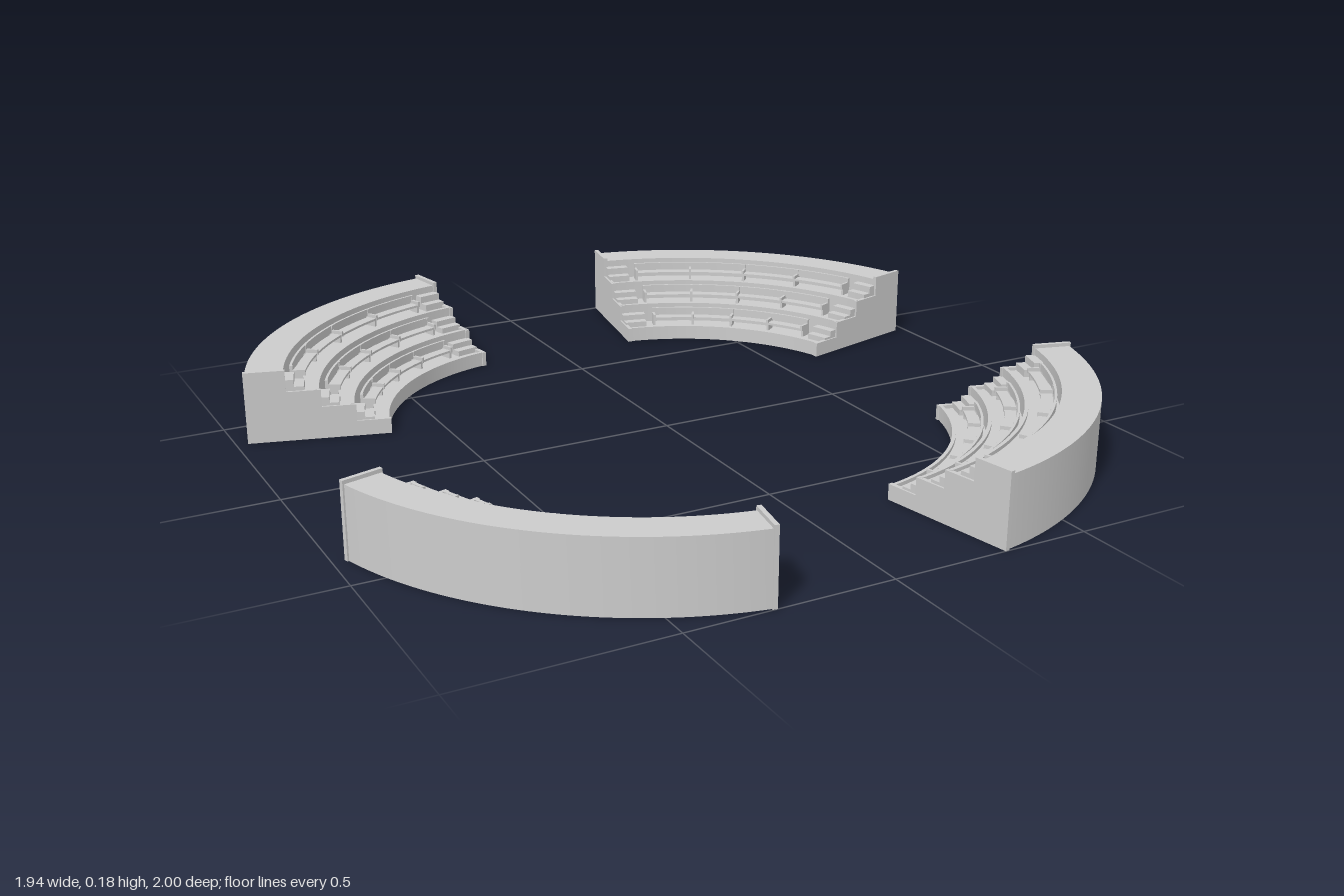
import * as THREE from 'three';
import { toCreasedNormals } from 'three/addons/utils/BufferGeometryUtils.js';

const material = new THREE.MeshStandardMaterial({ color: 0xcccccc, side: THREE.DoubleSide });
const INNER = 0.523, OUTER = 0.868, TIER = 0.084;
const HALF = THREE.MathUtils.degToRad(32.15);
const WALL = 0.011;
const FLOORS = [0.03, 0.075, 0.12, 0.175];
const WALL_TOPS = [0.039, 0.083, 0.128, 0.184];
const radius = (i) => INNER + TIER * i;

function add(group, name, geometry) {
  const mesh = new THREE.Mesh(geometry, material);
  mesh.name = name;
  group.add(mesh);
  return mesh;
}

// Block bent around the y axis, between two radii, heights and angles
function arcBlock(r0, r1, y0, y1, a0, a1) {
  const shape = new THREE.Shape();
  shape.absarc(0, 0, r1, a0, a1, false);
  shape.absarc(0, 0, r0, a1, a0, true);
  const geo = new THREE.ExtrudeGeometry(shape, {
    depth: y1 - y0, bevelEnabled: false,
    curveSegments: Math.max(3, Math.ceil((a1 - a0) * 24)),
  });
  geo.rotateX(Math.PI / 2).translate(0, y1, 0);
  return toCreasedNormals(geo, 0.5);
}

// Stepped wall closing one end of the stand
function endWall(side) {
  const shape = new THREE.Shape();
  shape.moveTo(INNER - 0.004, 0);
  WALL_TOPS.forEach((top, i) => {
    const r = radius(i) - 0.004;
    shape.lineTo(r, top);
    shape.lineTo(i < 3 ? radius(i + 1) - 0.004 : OUTER + 0.004, top);
  });
  shape.lineTo(OUTER + 0.004, 0);
  shape.closePath();
  const geo = new THREE.ExtrudeGeometry(shape, { depth: WALL, bevelEnabled: false });
  if (side > 0) geo.translate(0, 0, -WALL);
  return geo.rotateY(-side * HALF);
}

// One curved stand, symmetric about the +x axis
function createStand() {
  const stand = new THREE.Group();
  const inside = HALF - 0.008;

  FLOORS.forEach((floor, i) => {
    const r = radius(i), next = i < 3 ? radius(i + 1) : OUTER;
    add(stand, i < 3 ? 'tier' : 'rearWalkway', arcBlock(r, next, 0, floor, -inside, inside));
    if (i === 3) return;

    // Low kerb along the front of the tier
    add(stand, 'kerb', arcBlock(r, r + 0.009, floor, floor + 0.009, -inside, inside));

    // Two stair treads at each end, climbing to the next tier
    const rise = FLOORS[i + 1] - floor;
    const stairStart = HALF - 0.062 / r;
    for (const side of [-1, 1]) {
      const a0 = side > 0 ? stairStart : -inside;
      const a1 = side > 0 ? inside : -stairStart;
      add(stand, 'lowerTread', arcBlock(r + 0.036, r + 0.06, floor, floor + rise / 3, a0, a1));
      add(stand, 'upperTread', arcBlock(r + 0.06, next, floor, floor + rise * 2 / 3, a0, a1));
    }

    // Curved bench with a thin backrest
    const bench = HALF - 0.085 / r;
    add(stand, 'benchSeat', arcBlock(r + 0.038, r + 0.066, floor + 0.018, floor + 0.024, -bench, bench));
    add(stand, 'benchBack', arcBlock(r + 0.068, r + 0.074, floor + 0.026, floor + 0.045, -bench, bench));

    // Bench brackets: leg, back post and armrest
    for (let k = 0; k <= 4; k++) {
      const a = bench * (k / 2 - 1), w = 0.003 / r;
      add(stand, 'benchLeg', arcBlock(r + 0.042, r + 0.074, floor, floor + 0.018, a - w, a + w));
      add(stand, 'backPost', arcBlock(r + 0.066, r + 0.074, floor, floor + 0.045, a - w, a + w));
      add(stand, 'armrest', arcBlock(r + 0.036, r + 0.07, floor + 0.018, floor + 0.033, a - w, a + w));
    }
  });

  for (const side of [-1, 1]) add(stand, 'endWall', endWall(side));
  return stand;
}

export function createModel() {
  const model = new THREE.Group();
  model.name = 'arenaStands';
  const bearing = THREE.MathUtils.degToRad(47.75);

  // Four stands, one per quadrant
  for (const sx of [-1, 1]) for (const sz of [-1, 1]) {
    const stand = createStand();
    stand.name = (sz > 0 ? 'front' : 'back') + (sx > 0 ? 'Left' : 'Right') + 'Stand';
    stand.position.set(sx * 0.132, 0, sz * 0.142);
    stand.rotation.y = -Math.atan2(sz * Math.sin(bearing), sx * Math.cos(bearing));
    model.add(stand);
  }
  return model;
}
